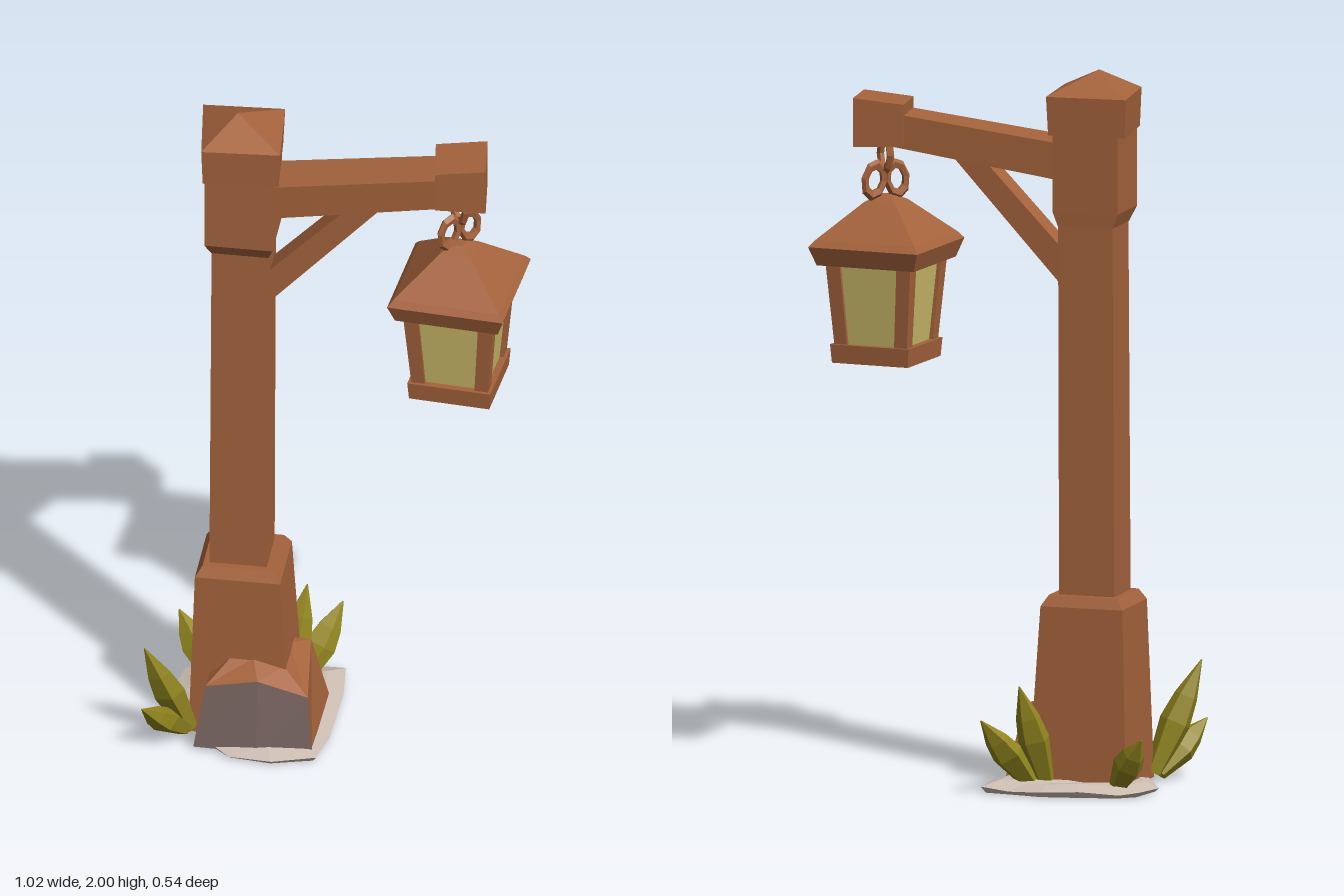
import * as THREE from 'three';

const mat = (name, color) => {
  const m = new THREE.MeshStandardMaterial({ color });
  m.name = name;
  return m;
};

// Horizontal four-cornered ring, counter-clockwise from above
const rect = (cx, cz, hx, hz, y) => [
  [cx - hx, y, cz + hz], [cx + hx, y, cz + hz], [cx + hx, y, cz - hz], [cx - hx, y, cz - hz],
];

// Faceted solid through rings listed from bottom to top; pick(row, side) chooses a material
function loft(rings, pick = () => 0) {
  const pos = [];
  const geo = new THREE.BufferGeometry();
  const n = rings[0].length;
  const face = (index, ...pts) => {
    geo.addGroup(pos.length / 3, pts.length, index);
    pts.forEach((p) => pos.push(...p));
  };
  for (let r = 0; r < rings.length - 1; r++) {
    for (let i = 0; i < n; i++) {
      const j = (i + 1) % n;
      const [a, b, c, d] = [rings[r][i], rings[r][j], rings[r + 1][j], rings[r + 1][i]];
      face(pick(r, i), a, b, c, a, c, d);
    }
  }
  const bottom = rings[0], top = rings[rings.length - 1];
  for (let i = 1; i < n - 1; i++) {
    face(0, bottom[0], bottom[i + 1], bottom[i]);
    face(0, top[0], top[i], top[i + 1]);
  }
  geo.setAttribute('position', new THREE.Float32BufferAttribute(pos, 3));
  geo.computeVertexNormals();
  return geo;
}

export function createModel() {
  const wood = mat('wood', 0xa5633c);
  const glass = mat('glass', 0xcbbb69);
  const leafGreen = mat('leaf', 0x92861f);
  const paleStone = mat('paleStone', 0xcdbeb3);
  const greyStone = mat('greyStone', 0x7a6662);

  const model = new THREE.Group();
  model.name = 'lampPost';
  const add = (name, geo, material, parent = model) => {
    const mesh = new THREE.Mesh(geo, Array.isArray(material) ? material : [material]);
    mesh.name = name;
    parent.add(mesh);
    return mesh;
  };

  // Flat stone slab with an uneven outline
  const outline = [
    [-.475, -.05], [-.39, .11], [-.34, .19], [-.27, .245], [-.15, .258], [-.03, .225], [-.01, .11],
    [-.003, -.1], [-.015, -.225], [-.1, -.235], [-.19, -.25], [-.3, -.23], [-.41, -.205], [-.455, -.165],
  ];
  const slabRing = (s, y, wobble) => outline.map(([x, z], i) =>
    [-.24 + (x + .24) * s, y + wobble * (i % 3), z * s]);
  add('groundSlab', loft([slabRing(.95, 0, 0), slabRing(1, .01, .004), slabRing(.8, .026, .004)]), paleStone);

  // Post: plinth, shaft, collar and pyramid cap
  add('plinth', loft([
    rect(-.258, .01, .142, .125, .01),
    rect(-.266, .008, .119, .108, .51),
    rect(-.266, .008, .1, .092, .54),
  ]), wood);
  add('shaft', loft([rect(-.27, .007, .08, .073, .5), rect(-.265, .007, .079, .07, 1.62)]), wood);
  add('collar', loft([
    rect(-.265, .008, .08, .072, 1.57),
    rect(-.265, .02, .095, .085, 1.61),
    rect(-.265, .02, .095, .085, 1.85),
  ]), wood);
  const capRing = (s, y) => [[-.365, .13], [-.147, .115], [-.168, -.115], [-.395, -.102]]
    .map(([x, z]) => [-.28 + (x + .28) * s, y, .015 + (z - .015) * s]);
  add('cap', loft([capRing(.96, 1.83), capRing(1, 1.938), capRing(.01, 2)]), wood);

  // Sloping arm, end block and diagonal brace
  add('arm', loft([
    [[-.2, 1.695, .075], [.29, 1.767, .058], [.29, 1.767, -.07], [-.2, 1.695, -.06]],
    [[-.2, 1.798, .075], [.29, 1.86, .058], [.29, 1.86, -.07], [-.2, 1.798, -.06]],
  ]), wood);
  const blockRing = (yl, yr) => [[.278, yl, .071], [.418, yr, .058], [.4, yr, -.095], [.258, yl, -.08]];
  add('endBlock', loft([blockRing(1.77, 1.765), blockRing(1.888, 1.902)]), wood);
  add('brace', loft([
    [[-.2, 1.385, .04], [.14, 1.755, .04], [.14, 1.755, -.035], [-.2, 1.385, -.035]],
    [[-.2, 1.49, .04], [.04, 1.74, .04], [.04, 1.74, -.035], [-.2, 1.49, -.035]],
  ]), wood);

  // Chain: one upper link and two leaning lower links
  const chain = new THREE.Group();
  chain.name = 'chain';
  chain.position.set(.335, 0, -.005);
  chain.rotation.y = Math.PI / 4;
  model.add(chain);
  const link = (name, x, y, tilt, turn) => {
    const geo = new THREE.TorusGeometry(.03, .011, 5, 8).scale(1, 1.45, 1).toNonIndexed();
    geo.computeVertexNormals();
    geo.clearGroups();
    geo.addGroup(0, geo.attributes.position.count, 0);
    const mesh = add(name, geo, wood, chain);
    mesh.position.set(x, y, 0);
    mesh.rotation.set(0, turn, tilt);
  };
  link('upperLink', 0, 1.735, 0, Math.PI / 2);
  for (const s of [-1, 1]) link('lowerLink', s * .034, 1.665, s * .2, 0);

  // Lantern: roof, glass, four corner posts and base
  const lantern = new THREE.Group();
  lantern.name = 'lantern';
  lantern.position.set(.335, 0, .002);
  lantern.rotation.y = -.09;
  model.add(lantern);
  const square = (h, y) => rect(0, 0, h, h, y);
  add('lanternRoof', loft([
    square(.146, 1.435), square(.164, 1.487), square(.15, 1.505), square(.045, 1.605), square(.015, 1.622),
  ]), wood, lantern);
  add('lanternGlass', loft([square(.097, 1.2), square(.117, 1.44)]), glass, lantern);
  for (const sx of [-1, 1]) for (const sz of [-1, 1]) {
    add('lanternPost', loft([
      rect(sx * .089, sz * .089, .019, .019, 1.2),
      rect(sx * .107, sz * .107, .021, .021, 1.445),
    ]), wood, lantern);
  }
  add('lanternBase', loft([square(.114, 1.16), square(.118, 1.212)]), wood, lantern);

  // Boulder leaning on the plinth, grey on its front face
  add('boulder', loft([
    [[-.375, .01, .21], [-.2, .01, .215], [-.045, .01, .2], [-.037, .01, -.085], [-.36, .01, -.05]],
    [[-.345, .2, .188], [-.2, .227, .185], [-.06, .185, .18], [-.085, .228, -.045], [-.33, .22, 0]],
    [[-.28, .262, .12], [-.22, .262, .12], [-.135, .24, .12], [-.14, .24, 0], [-.28, .262, 0]],
  ], (r, i) => (r === 0 && i < 2 ? 1 : 0)), [wood, greyStone]);

  // Thick pointed leaves, each running from a base point to a tip
  const leaf = (base, tip, width) => {
    const from = new THREE.Vector3(...base);
    const dir = new THREE.Vector3(...tip).sub(from);
    const ring = (w, y) => [0, 1, 2, 3, 4].map((i) => {
      const a = -i * Math.PI * .4;
      return [Math.cos(a) * w, y, Math.sin(a) * w * .75];
    });
    const len = dir.length();
    const mesh = add('leaf', loft([
      ring(width * .55, 0), ring(width, len * .45), ring(width * .75, len * .68), ring(.002, len),
    ]), leafGreen);
    mesh.position.copy(from);
    mesh.quaternion.setFromUnitVectors(new THREE.Vector3(0, 1, 0), dir.normalize());
  };
  leaf([-.4, .02, .13], [-.51, .33, .22], .047);
  leaf([-.41, .02, .14], [-.51, .16, .27], .047);
  leaf([-.17, .02, -.12], [-.12, .3, -.205], .047);
  leaf([-.13, .02, -.14], [-.03, .21, -.27], .047);
  leaf([-.38, .02, -.13], [-.48, .17, -.22], .045);

  return model;
}
